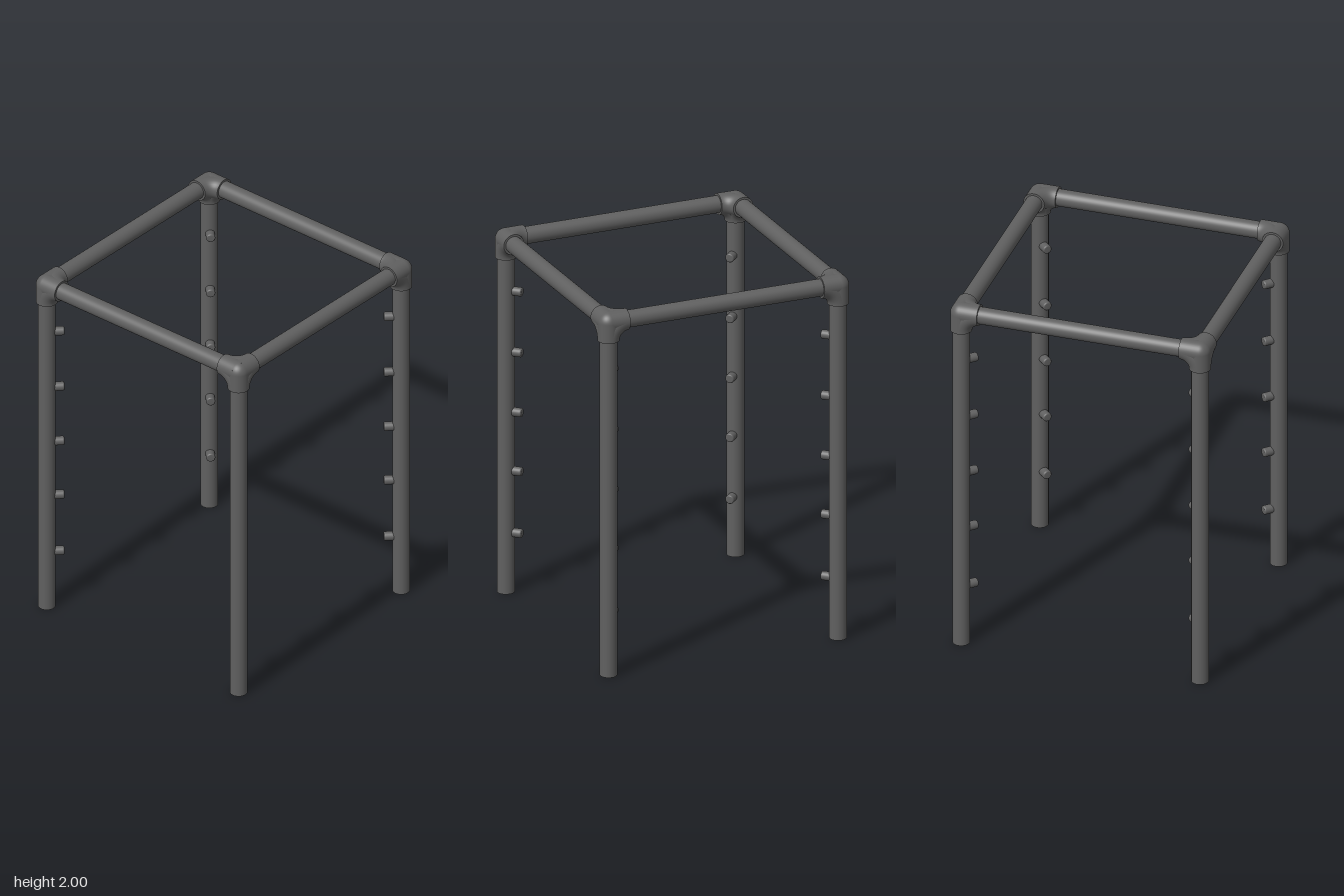
import * as THREE from 'three';

const C = 0.645;        // pipe axis distance from the centre
const TOP = 1.943;      // height of the top rail axis
const PIPE = 0.0455;    // pipe radius
const FIT = 0.0565;     // corner fitting radius
const ARM = 0.1;        // length of each fitting arm

export function createModel() {
  const model = new THREE.Group();
  model.name = 'pipeFrame';
  const mat = new THREE.MeshStandardMaterial({ color: 0x606060 });

  const add = (parent, name, geo, pos, rot = [0, 0, 0]) => {
    const mesh = new THREE.Mesh(geo, mat);
    mesh.name = name;
    mesh.position.set(...pos);
    mesh.rotation.set(...rot);
    parent.add(mesh);
    return mesh;
  };

  const H = Math.PI / 2;
  const legGeo = new THREE.CylinderGeometry(PIPE, PIPE, TOP, 40);
  const railGeo = new THREE.CylinderGeometry(PIPE, PIPE, 2 * C, 40);
  const sleeveGeo = new THREE.CylinderGeometry(FIT, FIT, ARM, 40);
  const ballGeo = new THREE.SphereGeometry(FIT, 40, 24);
  const bendGeo = new THREE.TorusGeometry(ARM, FIT, 32, 16, H);

  // peg with a slightly rounded tip, pointing along +y from the leg axis
  const pegGeo = new THREE.LatheGeometry([
    [0.024, 0], [0.024, 0.082], [0.0235, 0.085], [0.021, 0.089], [0.018, 0.09], [0, 0.09],
  ].map(([x, y]) => new THREE.Vector2(x, y)), 24);

  // one quarter of the frame, repeated around the vertical axis
  for (let i = 0; i < 4; i++) {
    const quarter = new THREE.Group();
    quarter.name = 'cornerSection' + (i + 1);
    quarter.rotation.y = i * H;
    model.add(quarter);

    add(quarter, 'leg', legGeo, [C, TOP / 2, C]);
    add(quarter, 'topRail', railGeo, [0, TOP, C], [0, 0, H]);

    // three-way corner fitting: ball, three sleeves and a filleted bend between each pair
    const fitting = new THREE.Group();
    fitting.name = 'cornerFitting';
    fitting.position.set(C, TOP, C);
    quarter.add(fitting);
    add(fitting, 'fittingBall', ballGeo, [0, 0, 0]);
    add(fitting, 'sleeveDown', sleeveGeo, [0, -ARM / 2, 0]);
    add(fitting, 'sleeveAcross', sleeveGeo, [-ARM / 2, 0, 0], [0, 0, H]);
    add(fitting, 'sleeveBack', sleeveGeo, [0, 0, -ARM / 2], [H, 0, 0]);
    add(fitting, 'bendAcross', bendGeo, [-ARM, -ARM, 0]);
    add(fitting, 'bendFlat', bendGeo, [-ARM, 0, -ARM], [H, 0, 0]);
    add(fitting, 'bendBack', bendGeo, [0, -ARM, -ARM], [0, -H, 0]);

    // shelf pegs pointing diagonally to the middle
    const inward = new THREE.Vector3(-1, 0, -1).normalize();
    for (const y of [0.33, 0.67, 0.995, 1.325, 1.66]) {
      const peg = add(quarter, 'shelfPeg', pegGeo, [C, y, C]);
      peg.quaternion.setFromUnitVectors(new THREE.Vector3(0, 1, 0), inward);
    }
  }
  return model;
}
